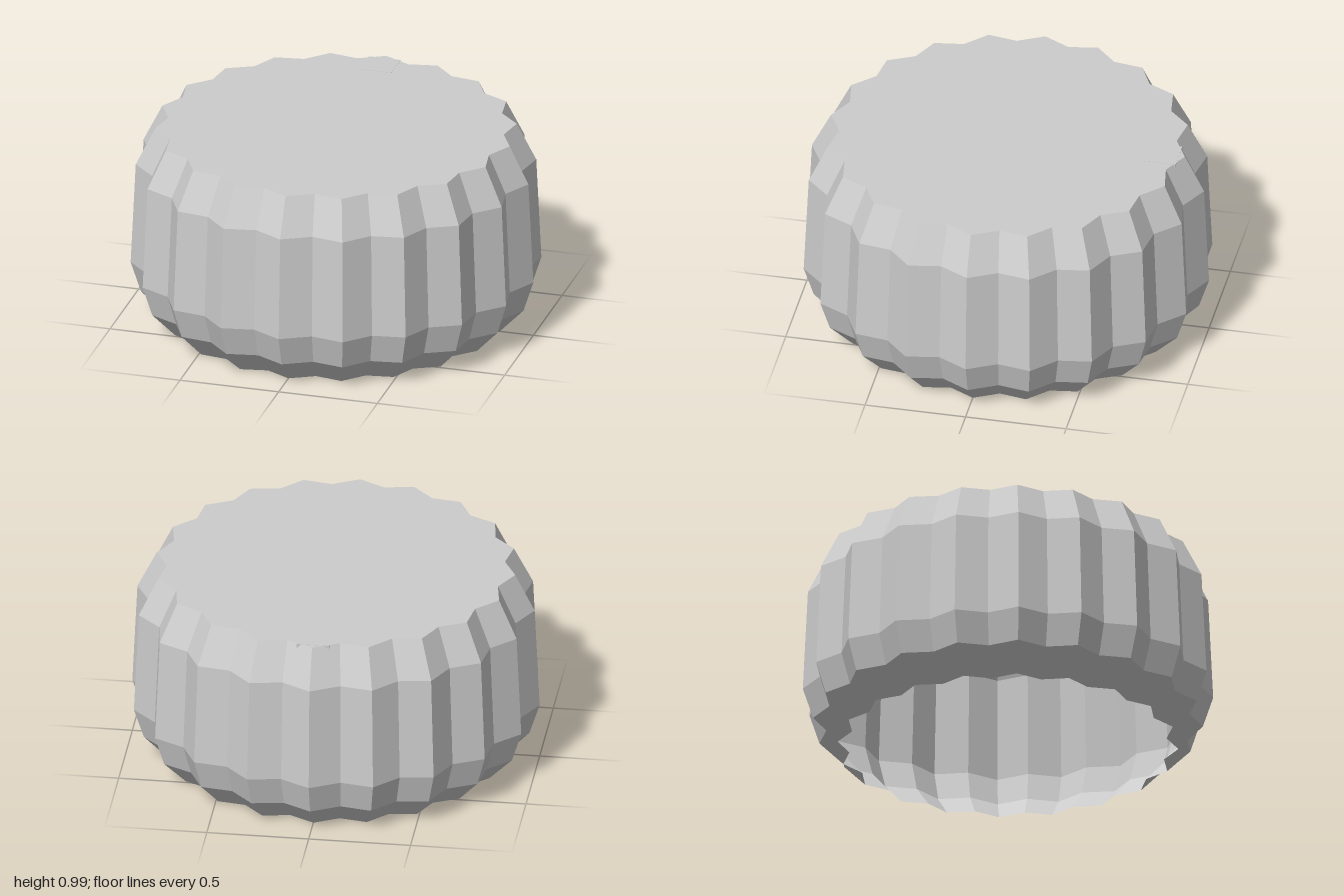
import * as THREE from 'three';

const RIDGES = 20;        // pointed flutes around the body
const VALLEY = 0.935;     // valley radius relative to ridge radius
const TOP = 0.99;

// Lathe a profile, then pull every second column inwards to form the flutes.
function flutedLathe(profile) {
  const points = profile.map(([r, y]) => new THREE.Vector2(r, y));
  const geometry = new THREE.LatheGeometry(points, RIDGES * 2);
  const pos = geometry.attributes.position;
  for (let i = 0; i < pos.count; i++) {
    const column = Math.floor(i / points.length);
    if (column % 2 === 1) pos.setXYZ(i, pos.getX(i) * VALLEY, pos.getY(i), pos.getZ(i) * VALLEY);
  }
  geometry.computeVertexNormals();
  return geometry;
}

export function createModel() {
  const group = new THREE.Group();
  group.name = 'flutedShell';

  const grey = new THREE.MeshStandardMaterial({ color: 0xcccccc, flatShading: true, side: THREE.DoubleSide });
  grey.name = 'light grey';

  const add = (name, geometry) => {
    const mesh = new THREE.Mesh(geometry, grey);
    mesh.name = name;
    group.add(mesh);
    return mesh;
  };

  // Fluted wall, open underneath
  add('wall', flutedLathe([[0.83, 0], [0.95, 0.125], [1, 0.28], [0.975, 0.8], [0.88, TOP]]));

  // Flat star-edged lid
  add('top', flutedLathe([[0.88, TOP], [0, TOP]]));

  // Small square tab set flush into the lid at the back
  add('tab', new THREE.BoxGeometry(0.16, 0.02, 0.16)).position.set(0, TOP - 0.009, -0.77);

  return group;
}
